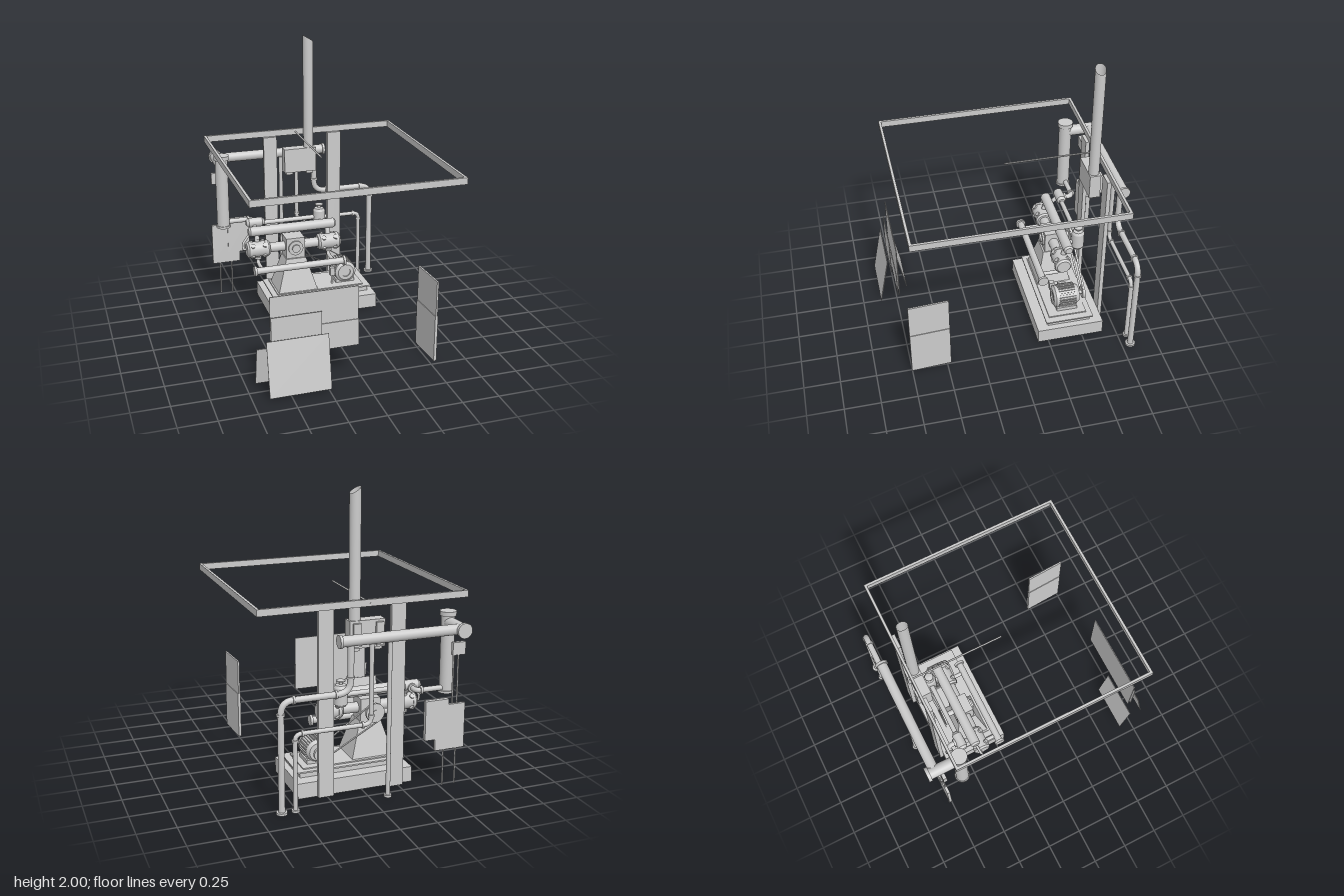
import * as THREE from 'three';

const mat = new THREE.MeshStandardMaterial({ color: 0xcccccc });
const matDouble = new THREE.MeshStandardMaterial({ color: 0xcccccc, side: THREE.DoubleSide });
const V = (p) => new THREE.Vector3(...p);

export function createModel() {
  const root = new THREE.Group();
  let parent = root;

  const add = (name, geo, m = mat) => {
    const mesh = new THREE.Mesh(geo, m);
    mesh.name = name;
    parent.add(mesh);
    return mesh;
  };
  const section = (name) => {
    parent = new THREE.Group();
    parent.name = name;
    root.add(parent);
  };
  // Box given by its limits on each axis
  const box = (name, [x0, x1], [y0, y1], [z0, z1]) => {
    const mesh = add(name, new THREE.BoxGeometry(x1 - x0, y1 - y0, z1 - z0));
    mesh.position.set((x0 + x1) / 2, (y0 + y1) / 2, (z0 + z1) / 2);
    return mesh;
  };
  // Turned part along the line from a to b; profile holds [radius, fraction of length]
  const turned = (name, a, b, profile, sides = 28) => {
    const d = V(b).sub(V(a)), len = d.length();
    const pts = profile.map(([r, t]) => new THREE.Vector2(r, t * len));
    // Doubling inner points keeps the steps crisp
    const sharp = pts.flatMap((p, i) => (i && i < pts.length - 1 ? [p, p.clone()] : [p]));
    const mesh = add(name, new THREE.LatheGeometry(sharp, sides), matDouble);
    mesh.position.copy(V(a));
    mesh.quaternion.setFromUnitVectors(new THREE.Vector3(0, 1, 0), d.normalize());
    return mesh;
  };
  const bar = (name, a, b, r, sides = 20) => turned(name, a, b, [[0, 0], [r, 0], [r, 1], [0, 1]], sides);
  // Pipe through points with rounded elbows
  const pipe = (name, points, r, bend) => {
    const path = new THREE.CurvePath();
    const p = points.map(V);
    let from = p[0];
    for (let i = 1; i < p.length - 1; i++) {
      const a = p[i].clone().add(p[i - 1].clone().sub(p[i]).setLength(bend));
      const b = p[i].clone().add(p[i + 1].clone().sub(p[i]).setLength(bend));
      path.add(new THREE.LineCurve3(from, a));
      path.add(new THREE.QuadraticBezierCurve3(a, p[i], b));
      from = b;
    }
    path.add(new THREE.LineCurve3(from, p[p.length - 1]));
    add(name, new THREE.TubeGeometry(path, 90, r, 16), matDouble);
  };

  // Roof ring, posts and overhead rod
  section('frame');
  const roofY = [1.255, 1.3];
  box('roofBeamBack', [-0.713, 0.71], roofY, [-0.693, -0.675]);
  box('roofBeamFront', [-0.713, 0.71], roofY, [0.717, 0.735]);
  box('roofBeamRight', [-0.713, -0.695], roofY, [-0.675, 0.717]);
  box('roofBeamLeft', [0.692, 0.71], roofY, [-0.675, 0.717]);
  box('postRight', [-0.28, -0.18], [0.01, 1.255], [-0.68, -0.652]);
  box('postLeft', [0.21, 0.313], [0.01, 1.255], [-0.68, -0.652]);
  bar('overheadRod', [-0.03, 1.275, -0.7], [-0.03, 1.275, 0.03 - 0.06], 0.006, 10);

  // Foundation and skid
  section('base');
  box('foundation', [-0.357, 0.443], [0.01, 0.115], [-0.652, -0.173]);
  box('skidWeb', [-0.31, 0.4], [0.115, 0.15], [-0.565, -0.255]);
  box('skidFlange', [-0.33, 0.42], [0.15, 0.16], [-0.583, -0.238]);
  box('skidDeck', [-0.29, 0.37], [0.16, 0.168], [-0.545, -0.27]);

  // Compressor: tapered pedestal, crankcase and opposed cylinders
  section('compressor');
  const pedestal = new THREE.CylinderGeometry(Math.SQRT1_2, Math.SQRT1_2, 1, 4, 1).toNonIndexed();
  pedestal.rotateY(Math.PI / 4);
  const pp = pedestal.attributes.position;
  for (let i = 0; i < pp.count; i++) {
    const top = pp.getY(i) > 0;
    pp.setXYZ(i, -0.13 + pp.getX(i) * (top ? 0.15 : 0.3), top ? 0.41 : 0.16, -0.4 + pp.getZ(i) * (top ? 0.135 : 0.25));
  }
  pedestal.computeVertexNormals();
  add('pedestal', pedestal);
  box('crankcase', [-0.2, -0.06], [0.405, 0.565], [-0.475, -0.345]);
  turned('crankcaseCover', [-0.13, 0.49, -0.345], [-0.13, 0.49, -0.32],
    [[0.055, 0], [0.055, 0.5], [0.03, 0.5], [0.03, 1], [0, 1]]);
  for (const s of [-1, 1]) {
    const X = (d) => -0.13 + s * d;
    bar('distancePiece', [X(0.06), 0.49, -0.408], [X(0.2), 0.49, -0.408], 0.036);
    turned('cylinder', [X(0.185), 0.49, -0.408], [X(0.355), 0.49, -0.408],
      [[0, 0], [0.05, 0], [0.06, 0.08], [0.06, 0.2], [0.056, 0.2], [0.056, 0.8], [0.06, 0.8], [0.06, 0.92], [0.048, 1], [0, 1]]);
    // Valve caps around each cylinder
    for (const dx of [0.225, 0.315])
      for (let k = 0; k < 4; k++) {
        const a = Math.PI / 4 + k * Math.PI / 2, c = Math.cos(a), q = Math.sin(a);
        bar('valveCap', [X(dx), 0.49 + q * 0.045, -0.408 + c * 0.045], [X(dx), 0.49 + q * 0.066, -0.408 + c * 0.066], 0.017, 14);
      }
    bar('upperBranch', [X(0.27), 0.53, -0.42], [X(0.27), 0.61, -0.445], 0.018);
    pipe('lowerBranch', [[X(0.27), 0.45, -0.408], [X(0.27), 0.38, -0.408], [X(0.27), 0.38, -0.262]], 0.014, 0.03);
    bar('branchFlange', [X(0.27), 0.415, -0.408], [X(0.27), 0.43, -0.408], 0.026);
  }
  turned('upperHeader', [-0.46, 0.614, -0.447], [0.205, 0.614, -0.447],
    [[0, 0], [0.025, 0], [0.036, 0.02], [0.036, 0.98], [0.025, 1], [0, 1]]);
  turned('lowerHeader', [-0.465, 0.38, -0.261], [0.225, 0.38, -0.261],
    [[0, 0], [0.037, 0], [0.037, 0.025], [0.025, 0.025], [0.025, 0.975], [0.037, 0.975], [0.037, 1], [0, 1]]);
  pipe('bypassLoop', [[-0.47, 0.49, -0.425], [-0.505, 0.49, -0.425], [-0.505, 0.53, -0.435], [-0.45, 0.6, -0.445]], 0.009, 0.015);

  // Intake pot, bottle and the line to the tall column
  section('intake');
  turned('pot', [0.108, 0.565, -0.537], [0.108, 0.745, -0.537],
    [[0, 0], [0.035, 0], [0.045, 0.08], [0.045, 0.7], [0.035, 0.8], [0.012, 0.82], [0.012, 0.93], [0.03, 0.93], [0.03, 0.97], [0, 1]]);
  turned('bottle', [-0.457, 0.65, -0.54], [-0.315, 0.65, -0.54],
    [[0, 0], [0.02, 0.02], [0.034, 0.15], [0.034, 0.85], [0.02, 0.98], [0, 1]]);
  bar('bottleLine', [-0.33, 0.64, -0.54], [0.08, 0.64, -0.54], 0.017);
  pipe('columnLine', [[-0.6, 0.64, -0.637], [-0.383, 0.64, -0.637], [-0.383, 0.64, -0.54]], 0.018, 0.04);
  bar('lineFlange', [-0.383, 0.64, -0.585], [-0.383, 0.64, -0.57], 0.03);
  bar('lineElbowFlange', [-0.425, 0.64, -0.637], [-0.41, 0.64, -0.637], 0.028);
  bar('bottleBranch', [-0.397, 0.55, -0.42], [-0.395, 0.64, -0.53], 0.016);
  bar('potBranch', [0.108, 0.62, -0.54], [0.108, 0.615, -0.45], 0.016);
  turned('column', [-0.605, 0.605, -0.628], [-0.605, 1.16, -0.628],
    [[0, 0], [0.053, 0], [0.053, 0.03], [0.046, 0.03], [0.046, 0.945], [0.055, 0.945], [0.055, 1], [0, 1]], 32);
  turned('columnOutlet', [-0.605, 1.083, -0.63], [-0.605, 1.083, -0.868],
    [[0.04, 0], [0.04, 0.9], [0.05, 0.9], [0.05, 1], [0, 1]]);

  // Rear header and its drop pipes
  section('rearPiping');
  const zb = -0.81;
  turned('rearHeader', [-0.6, 1.083, zb], [0.23, 1.083, zb],
    [[0, 0], [0.035, 0], [0.035, 0.978], [0.043, 0.978], [0.043, 1], [0, 1]]);
  pipe('outerDrop', [[0.15, 1.07, zb], [0.15, 0.748, zb], [0.605, 0.748, zb], [0.605, 0.015, zb]], 0.021, 0.085);
  pipe('innerDrop', [[0.01, 1.07, zb], [0.01, 0.525, zb], [0.515, 0.525, zb], [0.515, 0.015, zb]], 0.015, 0.045);
  bar('straightDrop', [-0.113, 1.07, zb], [-0.113, 0.015, zb], 0.015);
  for (const [x, r] of [[0.605, 0.036], [0.515, 0.026], [-0.113, 0.026]])
    bar('footFlange', [x, 0.01, zb], [x, 0.025, zb], r);
  for (const [x, y, r] of [[0.15, 0.84, 0.027], [0.605, 0.655, 0.027], [0.515, 0.475, 0.021], [0.01, 0.575, 0.021]])
    bar('elbowFlange', [x, y, zb], [x, y + 0.014, zb], r);
  for (const [x, y, r] of [[0.24, 0.748, 0.028], [0.515, 0.748, 0.028], [0.46, 0.525, 0.022], [0.06, 0.525, 0.022]])
    bar('elbowFlange', [x, y, zb], [x + 0.014, y, zb], r);

  // Tank box with its slant-cut chimney
  section('exhaust');
  box('tank', [-0.135, 0.105], [0.985, 1.165], [-0.68, -0.602]);
  for (const x of [-0.095, 0.06]) {
    box('tankFoot', [x - 0.025, x + 0.025], [0.965, 0.985], [-0.67, -0.615]);
    box('tankBracket', [x - 0.025, x + 0.025], [1.0, 1.15], [-0.7, -0.68]);
  }
  const chimney = new THREE.CylinderGeometry(0.037, 0.037, 0.84, 32, 1, true).translate(0.058, 1.58, -0.64);
  const cp = chimney.attributes.position;
  for (let i = 0; i < cp.count; i++)
    if (cp.getY(i) > 1.8) cp.setY(i, 2 - (cp.getX(i) - 0.021) * 0.6);
  add('chimney', chimney, matDouble);

  // Finned motor, pulleys and belt
  section('drive');
  const mx = 0.253, my = 0.252;
  turned('motor', [mx, my, -0.51], [mx, my, -0.32],
    [[0, 0], [0.06, 0], [0.074, 0.12], [0.074, 0.82], [0.08, 0.82], [0.08, 0.92], [0.06, 1], [0.035, 1], [0.035, 0.95], [0, 0.95]], 32);
  for (let k = 0; k < 28; k++) {
    const a = (k / 28) * Math.PI * 2;
    const fin = add('motorFin', new THREE.BoxGeometry(0.014, 0.005, 0.12));
    fin.position.set(mx + Math.cos(a) * 0.076, my + Math.sin(a) * 0.076, -0.42);
    fin.rotation.z = a;
  }
  box('motorFoot', [0.18, 0.325], [0.165, 0.195], [-0.49, -0.34]);
  box('terminalBox', [0.165, 0.2], [0.25, 0.3], [-0.44, -0.38]);
  bar('motorShaft', [mx, my, -0.565], [mx, my, -0.5], 0.014);
  bar('motorPulley', [mx, my, -0.56], [mx, my, -0.54], 0.045, 32);
  bar('crankshaft', [-0.13, 0.49, -0.565], [-0.13, 0.49, -0.47], 0.02);
  bar('flywheel', [-0.13, 0.49, -0.56], [-0.13, 0.49, -0.54], 0.065, 36);
  const slope = Math.atan2(my - 0.49, mx + 0.13);
  for (const s of [-1, 1]) {
    const belt = add('belt', new THREE.BoxGeometry(0.45, 0.005, 0.014));
    belt.position.set((mx - 0.13) / 2 - Math.sin(slope) * 0.056 * s, (my + 0.49) / 2 + Math.cos(slope) * 0.056 * s, -0.55);
    belt.rotation.z = slope - s * 0.044;
  }
  box('oilerHead', [0.133, 0.167], [0.235, 0.298], [-0.36, -0.325]);
  bar('oilerStem', [0.15, 0.16, -0.343], [0.15, 0.24, -0.343], 0.008, 12);

  // Switch boxes with conduits behind the column
  section('switchgear');
  box('smallBox', [-0.66, -0.57], [0.9, 0.985], [-0.778, -0.752]);
  box('largeBox', [-0.67, -0.46], [0.26, 0.57], [-0.778, -0.757]);
  box('sideBox', [-0.55, -0.385], [0.34, 0.61], [-0.782, -0.752]);
  bar('conduitA', [-0.614, 0.005, -0.767], [-0.614, 0.92, -0.767], 0.006, 10);
  bar('conduitB', [-0.58, 0.5, -0.767], [-0.58, 0.92, -0.767], 0.006, 10);
  bar('conduitC', [-0.525, 0.005, -0.767], [-0.525, 0.4, -0.767], 0.006, 10);

  // Loose panels at the front
  section('panels');
  box('backPanel', [-0.605, -0.02], [0.245, 0.657], [0.744, 0.75]);
  box('lowPanel', [-0.505, -0.02], [0.245, 0.43], [0.757, 0.762]);
  box('midPanel', [-0.605, -0.272], [0.245, 0.525], [0.768, 0.773]);
  const lean = (name, [x0, x1], [y0, y1], [zBottom, zTop]) => {
    const mesh = add(name, new THREE.BoxGeometry(x1 - x0, Math.hypot(y1 - y0, zTop - zBottom), 0.005));
    mesh.position.set((x0 + x1) / 2, (y0 + y1) / 2, (zBottom + zTop) / 2);
    mesh.rotation.x = Math.atan2(zTop - zBottom, y1 - y0);
  };
  lean('leaningFrontPanel', [-0.643, -0.235], [0.015, 0.378], [0.868, 0.798]);
  lean('leaningInnerPanel', [-0.687, -0.35], [0.018, 0.29], [0.66, 0.715]);
  for (const [name, y0, y1, t] of [['sidePanelUpper', 0.35, 0.61, 0.012], ['sidePanelLower', 0.03, 0.36, 0.02]])
    box(name, [0.515 - t / 2, 0.515 + t / 2], [y0, y1], [0.475, 0.755]).rotation.y = 0.06;

  return root;
}
